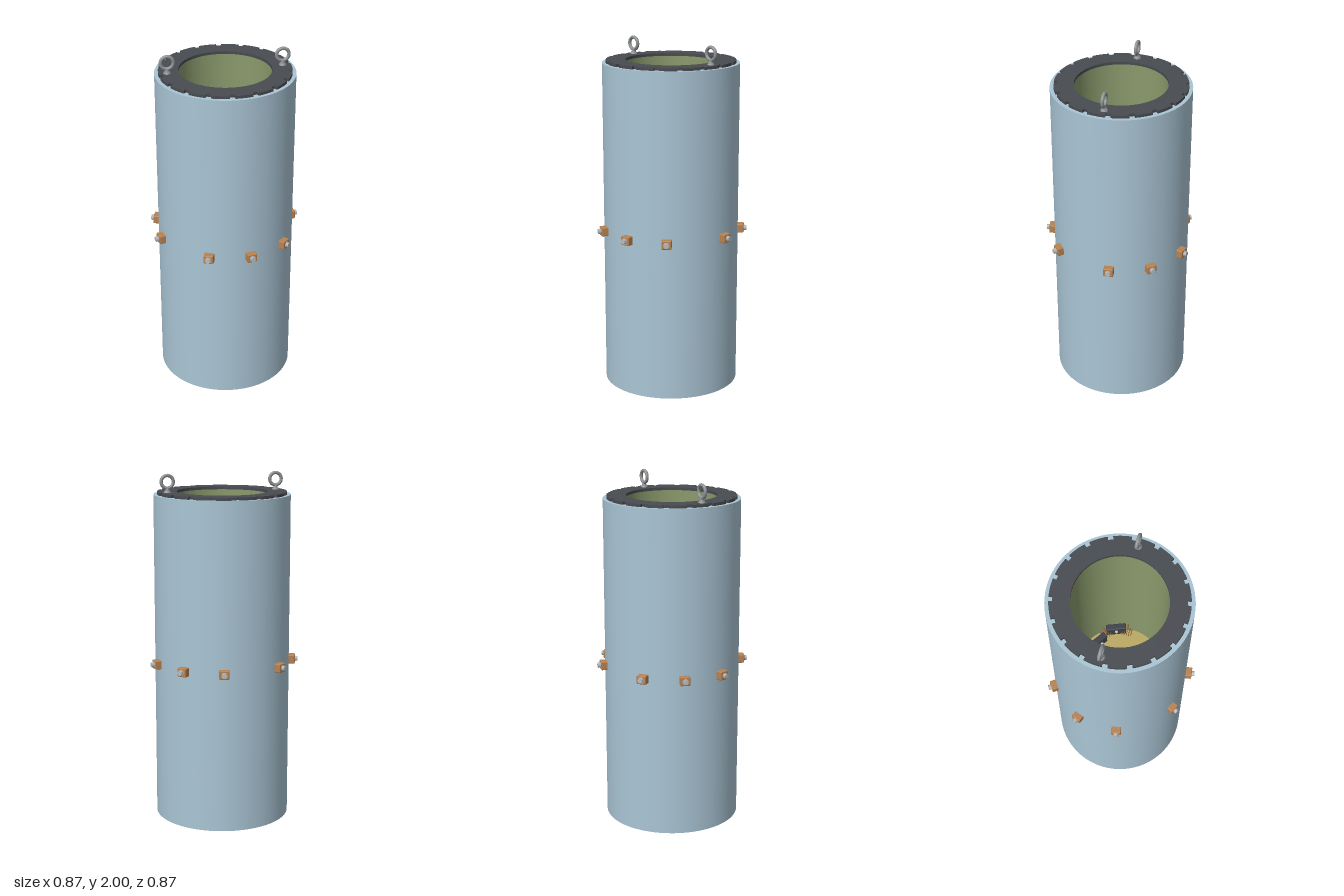
import * as THREE from 'three';
import { RoundedBoxGeometry } from 'three/addons/geometries/RoundedBoxGeometry.js';

const mat = (name, color, side = THREE.FrontSide) => {
  const m = new THREE.MeshStandardMaterial({ color, side });
  m.name = name;
  return m;
};
const rad = THREE.MathUtils.degToRad;

export function createModel() {
  const shellBlue = mat('shell blue', 0xaac5d5);
  const charcoal = mat('charcoal', 0x484b50);
  const liningGreen = mat('lining green', 0x8a9a6c, THREE.DoubleSide);
  const khaki = mat('khaki', 0xb9a963);
  const copper = mat('copper', 0xb98250);
  const wireCopper = mat('wire copper', 0x95603f);
  const lightGrey = mat('light grey', 0xbabcbf);
  const steel = mat('steel', 0x8f9294);
  const padDark = mat('pad dark', 0x3d4249);

  const model = new THREE.Group();
  model.name = 'cylindricalHousing';
  const MID = 0.925, TOP = 1.88, R = 0.389, HOLE = 0.257;

  const add = (parent, name, geo, material, x = 0, y = 0, z = 0) => {
    const mesh = new THREE.Mesh(geo, material);
    mesh.name = name;
    mesh.position.set(x, y, z);
    parent.add(mesh);
    return mesh;
  };
  // Group whose local +x points outward at an angle measured from +x to +z
  const radial = (name, deg, y = MID) => {
    const g = new THREE.Group();
    g.name = name;
    g.rotation.y = -rad(deg);
    g.position.y = y;
    body.add(g);
    return g;
  };
  // Cylinder lying along the local x axis
  const rodX = (r, len, sides = 12) =>
    new THREE.CylinderGeometry(r, r, len, sides).rotateZ(Math.PI / 2);

  const body = new THREE.Group();
  body.name = 'body';
  body.position.x = -0.003;
  model.add(body);

  // Outer shell, rim and base
  add(body, 'shell', new THREE.CylinderGeometry(R, R, TOP, 96, 1, true), shellBlue, 0, TOP / 2);
  add(body, 'rim', new THREE.RingGeometry(0.262, R, 96).rotateX(-Math.PI / 2), shellBlue, 0, TOP);
  add(body, 'base', new THREE.CircleGeometry(R, 96).rotateX(Math.PI / 2), shellBlue);

  // Inner lining and floor
  add(body, 'lining', new THREE.CylinderGeometry(0.262, 0.262, TOP - 0.01, 96, 1, true), liningGreen, 0, TOP / 2 + 0.005);
  add(body, 'floor', new THREE.CylinderGeometry(0.261, 0.261, 0.02, 96), khaki, 0, 0.84);

  // Top ring with eighteen rectangular notches in its outer edge
  const ring = new THREE.Shape();
  const notches = 18, half = 0.0145, outer = 0.368, inner = 0.349;
  for (let i = 0; i < notches; i++) {
    const mid = -Math.PI / 2 + (i * 2 * Math.PI) / notches;
    const corner = (r, side) => {
      const a = mid + side * Math.asin(half / r);
      return [r * Math.cos(a), r * Math.sin(a)];
    };
    if (i === 0) ring.moveTo(...corner(outer, -1));
    else ring.lineTo(...corner(outer, -1));
    ring.lineTo(...corner(inner, -1));
    ring.lineTo(...corner(inner, 1));
    ring.lineTo(...corner(outer, 1));
    const a0 = mid + Math.asin(half / outer);
    const a1 = mid + (2 * Math.PI) / notches - Math.asin(half / outer);
    for (let k = 1; k < 6; k++) {
      const a = a0 + ((a1 - a0) * k) / 6;
      ring.lineTo(outer * Math.cos(a), outer * Math.sin(a));
    }
  }
  ring.closePath();
  ring.holes.push(new THREE.Path().absarc(0, 0, HOLE, 0, Math.PI * 2, true));
  const ringGeo = new THREE.ExtrudeGeometry(ring, { depth: 0.016, bevelEnabled: false, curveSegments: 48 });
  add(body, 'notchedRing', ringGeo.rotateX(-Math.PI / 2), charcoal, 0, TOP);

  // Two lifting eyes, opposite each other
  for (const deg of [-5, 175]) {
    const g = radial('liftingEye', deg, TOP + 0.016);
    add(g, 'eyeFoot', new THREE.CylinderGeometry(0.016, 0.021, 0.01, 24), steel, 0.321, 0.005);
    add(g, 'eyeNeck', new THREE.CylinderGeometry(0.009, 0.014, 0.022, 24), steel, 0.321, 0.019);
    add(g, 'eyeRing', new THREE.TorusGeometry(0.035, 0.0095, 16, 40), steel, 0.321, 0.0605);
  }

  // Terminals in three sets of three: block and bolt outside, wire comb inside
  const blockGeo = new RoundedBoxGeometry(0.045, 0.05, 0.056, 2, 0.005);
  for (const set of [-45, 75, 195]) {
    for (const offset of [-34, 0, 34]) {
      const g = radial('terminal', set + offset);
      add(g, 'terminalBlock', blockGeo, copper, 0.402);
      add(g, 'boltWasher', rodX(0.017, 0.004, 24), lightGrey, 0.426);
      add(g, 'boltHead', rodX(0.015, 0.014, 6), lightGrey, 0.434);
      add(g, 'feedRod', rodX(0.004, 0.17), wireCopper, 0.315);
      add(g, 'combBar', new THREE.BoxGeometry(0.006, 0.006, 0.062), wireCopper, 0.229);
      for (let i = -2; i <= 2; i++)
        add(g, 'combWire', rodX(0.0024, 0.05, 8), wireCopper, 0.214, 0, i * 0.0135);
    }
  }

  // Central hub
  add(body, 'hubFlange', new THREE.CylinderGeometry(0.054, 0.054, 0.05, 48), lightGrey, 0, MID - 0.02);
  add(body, 'hubCollar', new THREE.CylinderGeometry(0.042, 0.042, 0.08, 48), lightGrey, 0, MID - 0.01);
  add(body, 'shaft', new THREE.CylinderGeometry(0.031, 0.031, 0.12, 48), charcoal, 0, MID - 0.02);

  // Three arms carrying pads, alternating with three pads near the wall
  const padGeo = new RoundedBoxGeometry(0.037, 0.08, 0.1, 2, 0.006);
  const wallPadGeo = new RoundedBoxGeometry(0.037, 0.08, 0.118, 2, 0.006);
  for (const deg of [-62, 58, 178]) {
    const arm = radial('arm', deg);
    add(arm, 'armBeam', new RoundedBoxGeometry(0.11, 0.03, 0.031, 2, 0.005), lightGrey, 0.097);
    add(arm, 'armTip', rodX(0.009, 0.04), lightGrey, 0.163);
    add(arm, 'armPin', new THREE.SphereGeometry(0.0105, 20, 14), lightGrey, 0.163, 0.016);
    add(arm, 'armPad', padGeo, padDark, 0.193);

    const fixed = radial('wallContact', deg + 34);
    add(fixed, 'wallPad', wallPadGeo, padDark, 0.227);
    add(fixed, 'wallPin', new THREE.SphereGeometry(0.0095, 20, 14), lightGrey, 0.202, 0.02);
  }

  return model;
}
